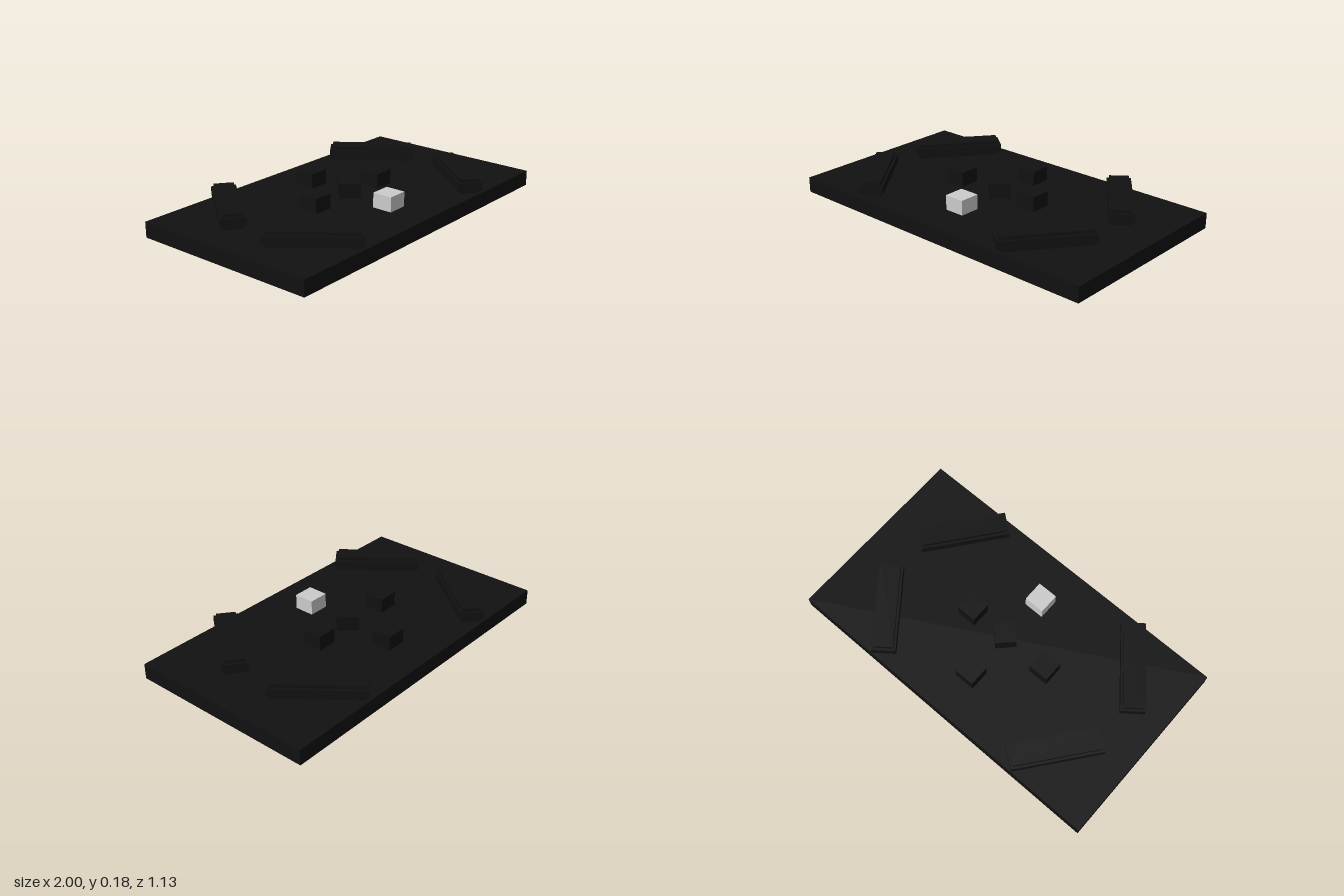
import * as THREE from 'three';

const dark = new THREE.MeshStandardMaterial({ color: 0x111111 });
const grey = new THREE.MeshStandardMaterial({ color: 0xcccccc });

const BOARD_TOP = 0.09;
const BLOCK_HEIGHT = 0.086;

function box(name, w, h, d, y, material = dark) {
  const mesh = new THREE.Mesh(new THREE.BoxGeometry(w, h, d), material);
  mesh.name = name;
  mesh.position.y = y;
  return mesh;
}

// Long barrier: a full-height core with a wider band around its middle
function barrier(name, x, z, degrees) {
  const group = new THREE.Group();
  group.name = name;
  const mid = BOARD_TOP + BLOCK_HEIGHT / 2;
  group.add(box('barrierCore', 0.485, BLOCK_HEIGHT, 0.11, mid));
  group.add(box('barrierBand', 0.515, 0.046, 0.138, mid));
  group.position.set(x, 0, z);
  group.rotation.y = THREE.MathUtils.degToRad(degrees);
  return group;
}

export function createModel() {
  const model = new THREE.Group();
  model.name = 'arena';

  // Floor slab
  model.add(box('floor', 2, BOARD_TOP, 1.12, BOARD_TOP / 2));

  // Four barriers set in a ring, one towards each corner
  model.add(barrier('frontLeftBarrier', 0.598, 0.32, 52));
  model.add(barrier('backLeftBarrier', 0.602, -0.316, -52));
  model.add(barrier('frontRightBarrier', -0.658, 0.318, -52));
  model.add(barrier('backRightBarrier', -0.632, -0.316, 52));

  // Small blocks: four around a turned centre block
  const blocks = [
    ['leftBlock', 0.24, 0, 0, dark],
    ['rightBlock', -0.29, 0, 0, dark],
    ['backBlock', 0, -0.285, 0, dark],
    ['centreBlock', 0, 0, Math.PI / 4, dark],
    ['frontBlock', -0.014, 0.29, 0, grey],
  ];
  for (const [name, x, z, turn, material] of blocks) {
    const block = box(name, 0.12, BLOCK_HEIGHT, 0.12, BOARD_TOP + BLOCK_HEIGHT / 2, material);
    block.position.x = x;
    block.position.z = z;
    block.rotation.y = turn;
    model.add(block);
  }

  return model;
}
